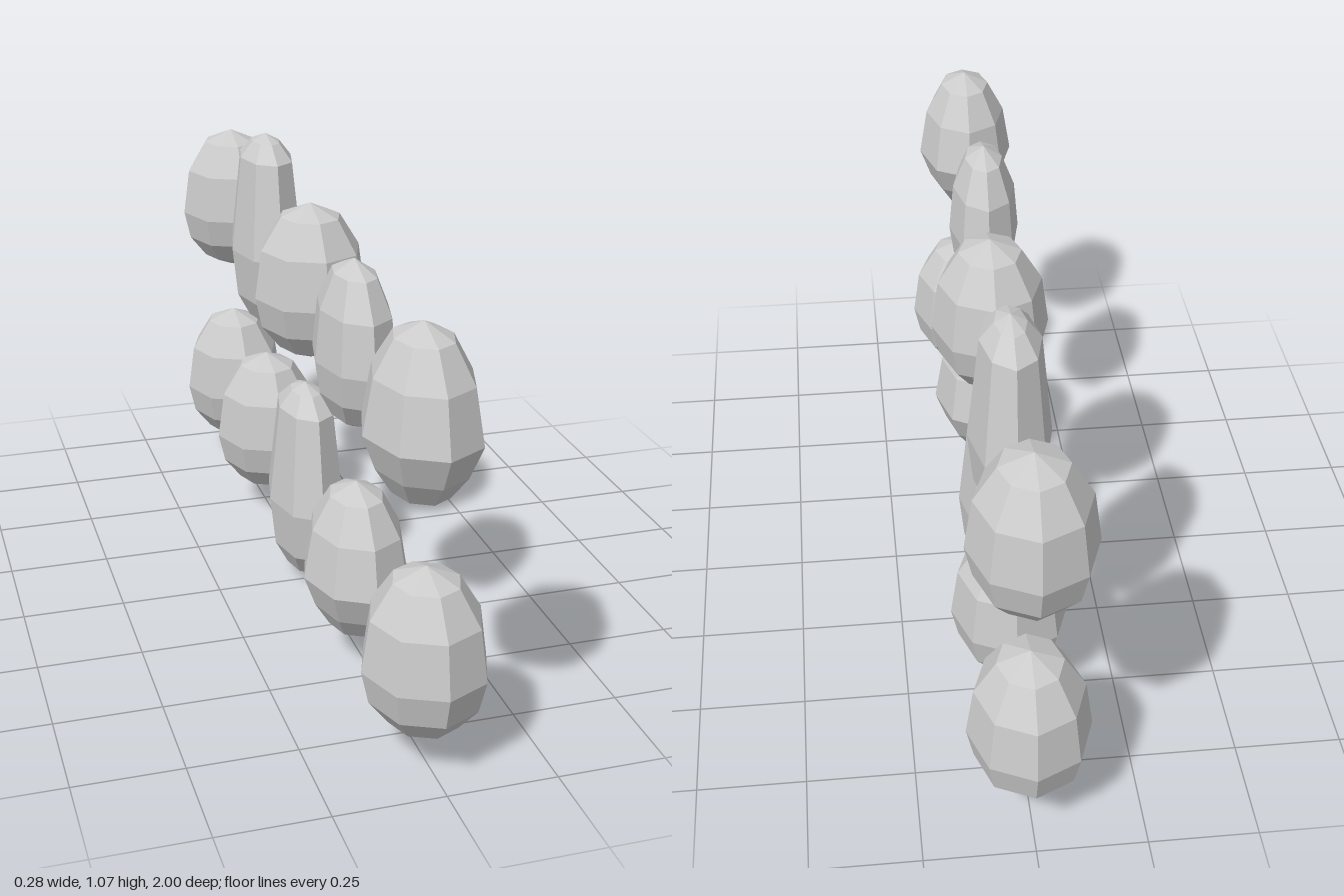
import * as THREE from 'three';

// Profiles from bottom to top: [relative radius, height]
const ROUND = [[0, 0.065], [0.57, 0.1], [0.88, 0.155], [1, 0.23], [0.88, 0.35], [0.53, 0.43], [0, 0.462]];
const TAPERED = [[0, 0.065], [0.5, 0.1], [0.78, 0.155], [1, 0.23], [0.84, 0.35], [0.5, 0.43], [0, 0.462]];
const TALL = [[0, 0.003], [0.52, 0.04], [0.86, 0.1], [1, 0.225], [0.72, 0.475], [0.38, 0.517], [0, 0.536]];

// Stone kinds: profile with half width in x and z
const KINDS = {
  roundStone: { profile: ROUND, rx: 0.14, rz: 0.159 },
  taperedStone: { profile: TAPERED, rx: 0.125, rz: 0.17 },
  narrowStone: { profile: ROUND, rx: 0.089, rz: 0.159 },
  tallStone: { profile: TALL, rx: 0.094, rz: 0.169 },
};

// Two rows of stones: [kind, x, z]
const ROWS = [
  { name: 'lowerRow', y: 0, stones: [
    ['roundStone', 0, 0.841], ['taperedStone', -0.015, 0.405], ['tallStone', -0.01, -0.038],
    ['roundStone', 0, -0.46], ['roundStone', 0, -0.841]] },
  { name: 'upperRow', y: 0.535, stones: [
    ['taperedStone', -0.015, 0.83], ['narrowStone', -0.025, 0.407], ['roundStone', 0.005, -0.045],
    ['tallStone', 0.005, -0.468], ['roundStone', 0, -0.841]] },
];

export function createModel() {
  const group = new THREE.Group();
  const material = new THREE.MeshStandardMaterial({ color: 0xcccccc, flatShading: true });

  // Eight-sided faceted stone, stretched to an oval plan
  function makeStone({ profile, rx, rz }) {
    const points = profile.map(([r, y]) => new THREE.Vector2(r, y));
    return new THREE.LatheGeometry(points, 8).scale(rx, 1, rz);
  }

  for (const { name, y, stones } of ROWS) {
    const row = new THREE.Group();
    row.name = name;
    row.position.y = y;
    for (const [kind, x, z] of stones) {
      const stone = new THREE.Mesh(makeStone(KINDS[kind]), material);
      stone.name = kind;
      stone.position.set(x, 0, z);
      row.add(stone);
    }
    group.add(row);
  }
  return group;
}
